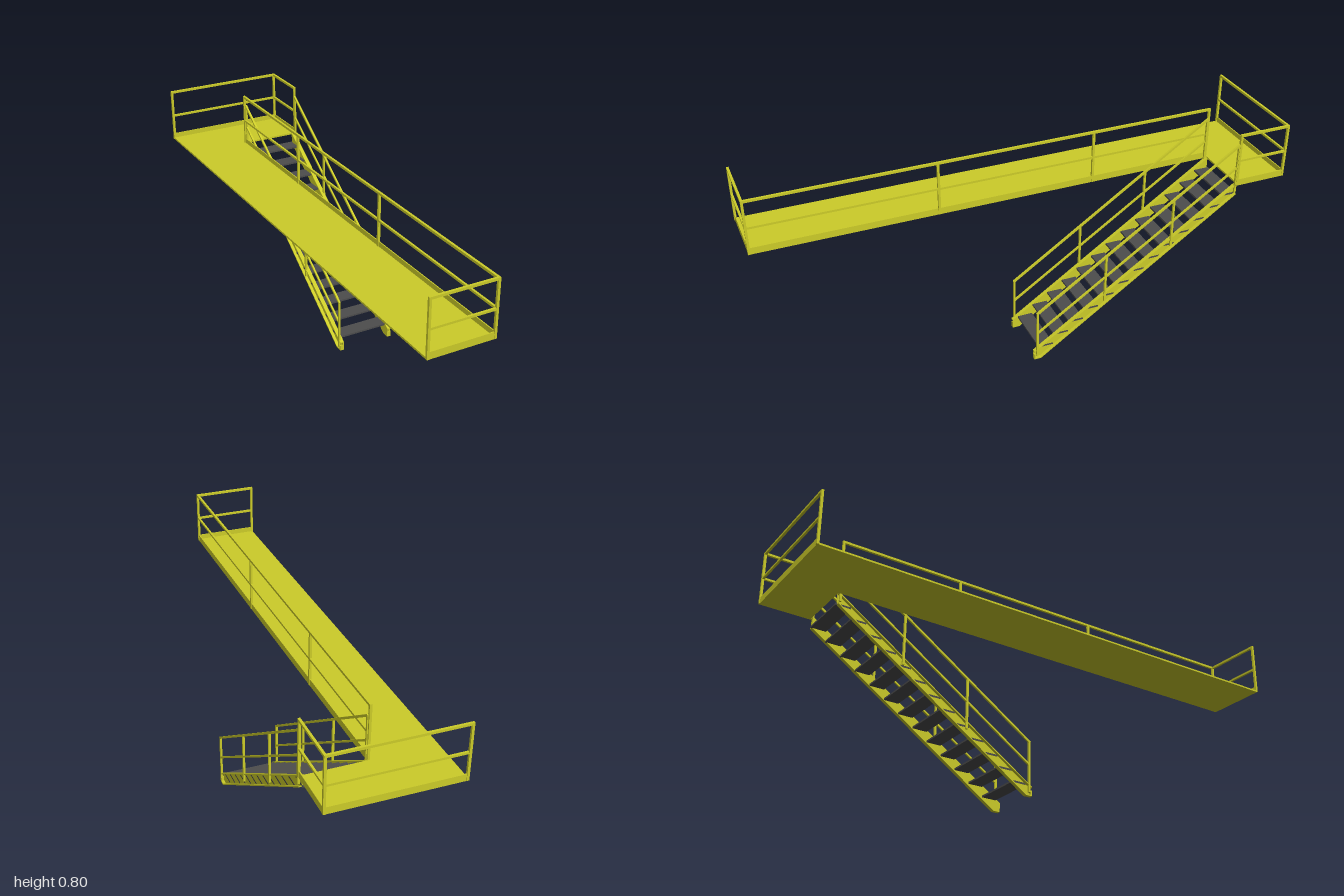
import * as THREE from 'three';

const yellow = new THREE.MeshStandardMaterial({ color: 0xcccc29 });
const dark = new THREE.MeshStandardMaterial({ color: 0x4d4d4d });

export function createModel() {
  const model = new THREE.Group();

  const add = (name, geometry, material, parent) => {
    const mesh = new THREE.Mesh(geometry, material);
    mesh.name = name;
    parent.add(mesh);
    return mesh;
  };
  const group = (name) => {
    const g = new THREE.Group();
    g.name = name;
    model.add(g);
    return g;
  };
  // Box given by its minimum and maximum corners
  const box = (name, a, b, material, parent) => {
    const mesh = add(name, new THREE.BoxGeometry(b[0] - a[0], b[1] - a[1], b[2] - a[2]), material, parent);
    mesh.position.set((a[0] + b[0]) / 2, (a[1] + b[1]) / 2, (a[2] + b[2]) / 2);
    return mesh;
  };
  // Square bar between two points
  const bar = (name, a, b, size, parent) => {
    const p = new THREE.Vector3(...a), q = new THREE.Vector3(...b);
    const mesh = add(name, new THREE.BoxGeometry(size, size, p.distanceTo(q)), yellow, parent);
    mesh.position.copy(p).lerp(q, 0.5);
    mesh.lookAt(q);
    return mesh;
  };
  const polygon = (points) => new THREE.Shape(points.map(([x, y]) => new THREE.Vector2(x, y)));
  // Profile in (z, y), extruded across x0..x1
  const sidePlate = (name, points, x0, x1, parent) => {
    const geo = new THREE.ExtrudeGeometry(polygon(points), { depth: x1 - x0, bevelEnabled: false });
    geo.rotateY(-Math.PI / 2).translate(x1, 0, 0);
    return add(name, geo, yellow, parent);
  };

  // L-shaped walkway deck
  const platform = group('platform');
  const deck = new THREE.ExtrudeGeometry(
    polygon([[-0.242, -0.998], [0.242, -0.998], [0.242, -0.8], [0.007, -0.8], [0.007, 0.998], [-0.242, 0.998]]),
    { depth: 0.007, bevelEnabled: false });
  deck.rotateX(Math.PI / 2).translate(0, 0.592, 0);
  add('deck', deck, yellow, platform);

  // Toe boards on the guarded edges
  const boards = [
    [[-0.242, 0.994], [0.007, 0.998]],
    [[0.003, -0.8], [0.007, 0.998]],
    [[-0.242, -0.998], [0.242, -0.994]],
    [[0.238, -0.998], [0.242, -0.8]],
  ];
  for (const [a, b] of boards) box('toeBoard', [a[0], 0.585, a[1]], [b[0], 0.611, b[1]], yellow, platform);

  // Guard rails of the walkway
  const guard = group('guardRails');
  const W = 0.009;
  const runs = [
    [[-0.239, 0.9955], [0.005, 0.9955]],
    [[0.005, 0.9955], [0.005, -0.795]],
    [[-0.239, -0.9955], [0.239, -0.9955]],
    [[0.239, -0.9955], [0.239, -0.795]],
  ];
  for (const [a, b] of runs) {
    bar('topRail', [a[0], 0.795, a[1]], [b[0], 0.795, b[1]], W, guard);
    bar('midRail', [a[0], 0.691, a[1]], [b[0], 0.691, b[1]], W - 0.001, guard);
  }
  const posts = [
    [-0.239, 0.9955], [0.005, 0.9955], [0.005, 0.305], [0.005, -0.305], [0.005, -0.795],
    [-0.239, -0.9955], [0.239, -0.9955], [0.239, -0.795],
  ];
  for (const [x, z] of posts) {
    box('guardPost', [x - W / 2, 0.586, z - W / 2], [x + W / 2, 0.7995, z + W / 2], yellow, guard);
  }

  // Stair treads
  const stairs = group('stairs');
  for (let i = 0; i < 13; i++) {
    const y = 0.0435 + i * 0.0417, z = 0.007 - i * 0.0624;
    box('tread', [0.0195, y, z - 0.06], [0.2285, y + 0.007, z], dark, stairs);
  }

  // Channel stringers open outward, with sloping handrails on both sides
  const bottom = [[0, 0], [-0.797, 0.545]];
  const top = [[0.028, 0.037], [-0.797, 0.592]];
  const sides = [
    { web: [0.02, 0.024], flange: [0.008, 0.024], rail: 0.0095 },
    { web: [0.224, 0.228], flange: [0.224, 0.24], rail: 0.2385 },
  ];
  const T = 0.005, S = 0.008;
  for (const { web, flange, rail } of sides) {
    sidePlate('stringerWeb', [bottom[0], [0.028, 0], top[0], top[1], bottom[1]], ...web, stairs);
    sidePlate('stringerLowerFlange',
      [bottom[0], bottom[1], [bottom[1][0], bottom[1][1] + T], [0, T]], ...flange, stairs);
    sidePlate('stringerUpperFlange',
      [top[0], top[1], [top[1][0], top[1][1] - T], [top[0][0], top[0][1] - T]], ...flange, stairs);
    sidePlate('stringerFoot', [[0, 0], [0.028, 0], [0.028, 0.022], [0.022, 0.022], [0.022, T], [0, T]], ...flange, stairs);

    const railY = (z) => 0.213 + (0.016 - z) * 0.673;
    bar('handrail', [rail, railY(0.019), 0.019], [rail, railY(-0.793), -0.793], S, stairs);
    bar('handrailMid', [rail, railY(0.016) - 0.092, 0.016], [rail, railY(-0.79) - 0.092, -0.79], S - 0.001, stairs);
    for (const z of [0.016, -0.26, -0.53, -0.79]) {
      const y = railY(z);
      box('handrailPost', [rail - S / 2, y - 0.2, z - S / 2], [rail + S / 2, y, z + S / 2], yellow, stairs);
    }
  }

  return model;
}
